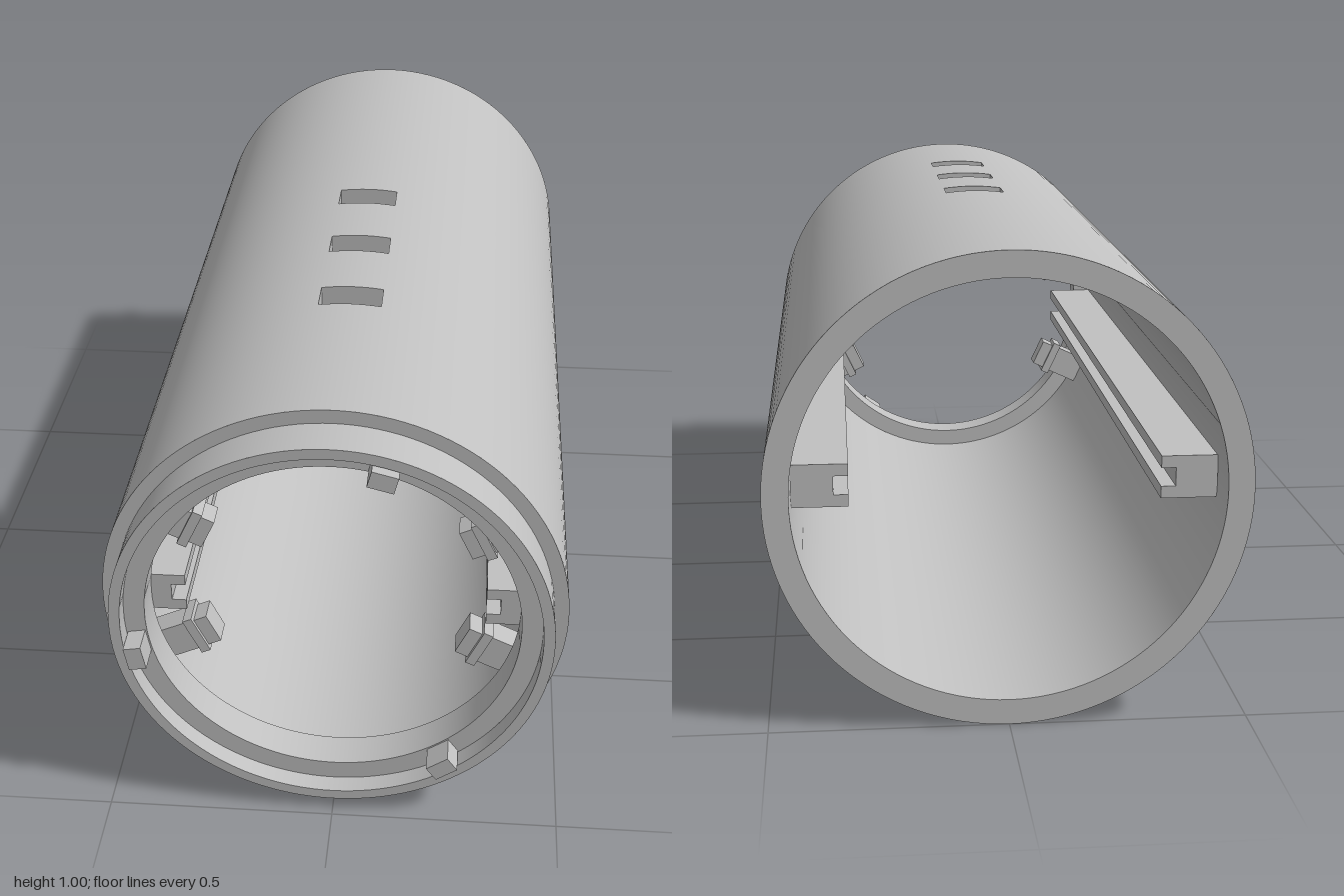
import * as THREE from 'three';
import { mergeGeometries } from 'three/addons/utils/BufferGeometryUtils.js';

const R = 0.5, BORE = 0.445, LIP = 0.4;  // outer wall, bore and front flange radii
const HALF = 0.07;                       // half width of a slot
const SLOTS = [[-0.155, -0.075], [0.107, 0.187], [0.367, 0.447]];

// Smooth bands along a profile of [radius, z], turned about the z axis (top is phi = PI).
// Each band has a strip as wide as the slots along the top, and the rest of the round.
function bands(profile, strip = true, rest = true) {
  const parts = [];
  for (let i = 0; i < profile.length - 1; i++) {
    const pair = [profile[i], profile[i + 1]];
    const pts = pair.map(([x, z]) => new THREE.Vector2(x, z));
    const a = Math.asin(HALF / Math.min(pts[0].x, pts[1].x));
    if (strip) parts.push(new THREE.LatheGeometry(pts, 8, Math.PI - a, 2 * a));
    if (rest) parts.push(new THREE.LatheGeometry(pts, 120, Math.PI + a, 2 * (Math.PI - a)));
  }
  return mergeGeometries(parts).rotateX(Math.PI / 2);
}

export function createModel() {
  const grey = new THREE.MeshStandardMaterial({ color: 0xc0c0c0, side: THREE.DoubleSide });
  grey.name = 'light grey';

  const model = new THREE.Group();
  model.name = 'tubeHousing';
  const axis = new THREE.Group();
  axis.name = 'tube';
  axis.position.y = R;
  model.add(axis);

  const add = (name, geometry, parent = axis) => {
    const mesh = new THREE.Mesh(geometry, grey);
    mesh.name = name;
    parent.add(mesh);
    return mesh;
  };

  // Plain rear body, and front body with stepped collar, recess and narrow inner flange
  const zA = SLOTS[0][0], zB = SLOTS[2][1];
  add('rearBody', bands([[BORE, zA], [BORE, -1], [R, -1], [R, zA]]));
  add('frontBody', bands([
    [R, zB], [R, 0.888], [0.469, 0.888], [0.469, 0.982], [BORE, 0.982],
    [BORE, 0.94], [LIP, 0.94], [LIP, 0.86], [BORE, 0.86], [BORE, zB],
  ]));

  // Middle body: open strip along the top, bridged between the slots
  const skin = (name, z0, z1, strip) => add(name, mergeGeometries([
    bands([[R, z0], [R, z1]], strip, !strip),
    bands([[BORE, z1], [BORE, z0]], strip, !strip),
  ]));
  skin('middleBody', zA, zB, false);
  for (let i = 0; i < 2; i++) skin('slotBridge', SLOTS[i][1], SLOTS[i + 1][0], true);

  // Walls of the three slots
  const up = Math.PI / 2;
  const aOut = Math.asin(HALF / R), aIn = Math.asin(HALF / BORE);
  const wall = new THREE.Shape();
  wall.absarc(0, 0, R, up - aOut, up + aOut, false);
  wall.absarc(0, 0, BORE, up + aIn, up - aIn, true);
  const yOut = R * Math.cos(aOut), yIn = BORE * Math.cos(aIn);
  for (const [z0, z1] of SLOTS) {
    add('slotRearWall', new THREE.ShapeGeometry(wall).translate(0, 0, z0));
    add('slotFrontWall', new THREE.ShapeGeometry(wall).rotateY(Math.PI).translate(0, 0, z1));
    for (const s of [-1, 1]) {
      const side = new THREE.PlaneGeometry(z1 - z0, yOut - yIn).rotateY(-s * up);
      add('slotSideWall', side.translate(s * HALF, (yOut + yIn) / 2, (z0 + z1) / 2));
    }
  }

  // Grooved rails along both sides of the bore, ending at the flange
  const rail = new THREE.Shape([
    [0.444, -0.046], [0.444, 0.046], [0.325, 0.046], [0.325, 0.02],
    [0.356, 0.02], [0.356, -0.02], [0.325, -0.02], [0.325, -0.046],
  ].map(([x, y]) => new THREE.Vector2(x, y)));
  for (const turn of [0, Math.PI]) {
    const geo = new THREE.ExtrudeGeometry(rail, { depth: 1.765, bevelEnabled: false });
    add(turn ? 'rightRail' : 'leftRail', geo.translate(0, 0, -0.905)).rotation.z = turn;
  }

  // Radial block: radii, width and z range
  const block = (r0, r1, width, z0, z1) =>
    new THREE.BoxGeometry(r1 - r0, width, z1 - z0).translate((r0 + r1) / 2, 0, (z0 + z1) / 2);

  // Four stepped clips behind the flange
  for (const deg of [25, 155, 205, 335]) {
    const clip = new THREE.Group();
    clip.name = 'clip';
    clip.rotation.z = THREE.MathUtils.degToRad(deg);
    add('clipBase', block(0.358, 0.444, 0.076, 0.765, 0.822), clip);
    add('clipRidge', block(0.336, 0.358, 0.094, 0.757, 0.83), clip);
    add('clipTip', block(0.305, 0.336, 0.073, 0.765, 0.822), clip);
    axis.add(clip);
  }

  // Three locating tabs standing on the flange
  for (const deg of [75, 190, 305]) {
    add('locatingTab', block(0.403, 0.441, 0.056, 0.94, 1)).rotation.z = THREE.MathUtils.degToRad(deg);
  }

  return model;
}
